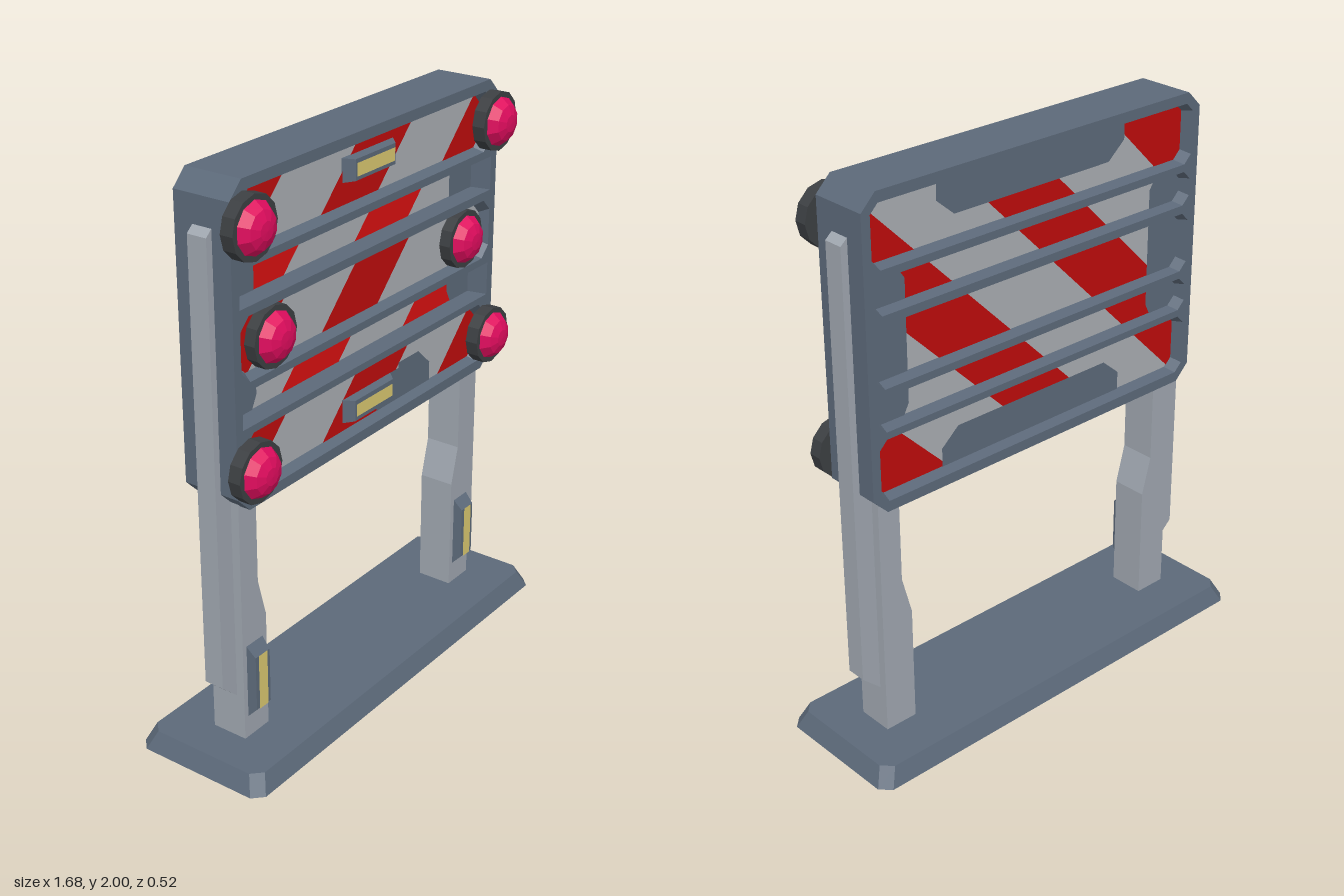
import * as THREE from 'three';
import { mergeGeometries } from 'three/addons/utils/BufferGeometryUtils.js';

const mat = (name, color, extra = {}) => {
  const m = new THREE.MeshStandardMaterial({ color, ...extra });
  m.name = name;
  return m;
};

// Counter-clockwise rectangle with cut corners
function cutRect(x0, x1, y0, y1, c = 0) {
  if (!c) return [[x0, y0], [x1, y0], [x1, y1], [x0, y1]];
  return [[x0 + c, y0], [x1 - c, y0], [x1, y0 + c], [x1, y1 - c],
    [x1 - c, y1], [x0 + c, y1], [x0, y1 - c], [x0, y0 + c]];
}

const toPoints = (loop) => loop.map(([x, y]) => new THREE.Vector2(x, y));

// Flat face at depth z, looking to +z, or to -z when back is set
function face(loop, z, back = false, holes = []) {
  const turn = (l) => toPoints(back ? l.map(([x, y]) => [-x, y]) : l);
  const shape = new THREE.Shape(turn(loop));
  for (const h of holes) shape.holes.push(new THREE.Path(turn(h)));
  const g = new THREE.ShapeGeometry(shape).toNonIndexed();
  if (back) g.rotateY(Math.PI);
  g.deleteAttribute('uv');
  return g.translate(0, 0, z);
}

// Wall joining two loops; outward when zB > zA, inward when zB < zA
function wall(a, zA, b, zB) {
  const p = [];
  a.forEach((q, i) => {
    const j = (i + 1) % a.length;
    const [A, B, C, D] = [[...q, zA], [...a[j], zA], [...b[j], zB], [...b[i], zB]];
    p.push(...A, ...B, ...C, ...A, ...C, ...D);
  });
  const g = new THREE.BufferGeometry();
  g.setAttribute('position', new THREE.Float32BufferAttribute(p, 3));
  g.computeVertexNormals();
  return g;
}

// Tapered plate, open underneath
const slab = (a, zA, b, zB) => mergeGeometries([wall(a, zA, b, zB), face(b, zB)]);

// Part of a convex loop where lo <= x - y <= hi
function clipDiagonal(loop, lo, hi) {
  for (const [s, k] of [[1, lo], [-1, -hi]]) {
    const out = [];
    loop.forEach((p, i) => {
      const q = loop[(i + 1) % loop.length];
      const dp = s * (p[0] - p[1]) - k, dq = s * (q[0] - q[1]) - k;
      if (dp >= 0) out.push(p);
      if (dp * dq < 0) {
        const t = dp / (dp - dq);
        out.push([p[0] + t * (q[0] - p[0]), p[1] + t * (q[1] - p[1])]);
      }
    });
    loop = out;
  }
  return loop;
}

export function createModel() {
  const root = new THREE.Group();
  root.name = 'roadBarrier';
  const slate = mat('slate frame', 0x5c6979, { side: THREE.DoubleSide });
  const steel = mat('light steel', 0x9fa6af);
  const white = mat('stripe grey', 0xa9adb2);
  const red = mat('stripe red', 0xbe0c0c);
  const brightRed = mat('bright stripe red', 0xd81010);
  const pink = mat('lamp pink', 0xe00c5e, { flatShading: true });
  const black = mat('lamp base black', 0x3c3f42, { flatShading: true });
  const yellow = mat('reflector yellow', 0xdac870);

  const add = (name, geo, material, parent = root) => {
    const m = new THREE.Mesh(geo, material);
    m.name = name;
    parent.add(m);
    return m;
  };

  // Foot plate
  add('footPlate', slab(cutRect(-0.84, 0.84, -0.258, 0.258, 0.036), 0,
    cutRect(-0.808, 0.808, -0.23, 0.23, 0.036), 0.065).rotateX(-Math.PI / 2), slate);

  // Board frame with five windows: bottom, top, corner cut, front panel depth
  const deep = 0.03, high = 0.07, rear = -0.06, Z = 0.105;
  const rows = [
    [1.752, 1.963, 0.05, high], [1.605, 1.725, 0, deep], [1.362, 1.575, 0.04, high],
    [1.215, 1.335, 0, deep], [0.972, 1.19, 0.05, high],
  ];
  const windowLoop = ([y0, y1, c], dx, dy = dx) => cutRect(-0.682 + dx, 0.682 - dx, y0 + dy, y1 - dy, c);
  const outline = cutRect(-0.715, 0.715, 0.935, 2, 0.055);
  const openings = rows.map((r) => windowLoop(r, 0));
  const backOpenings = rows.map(([y0, y1]) => cutRect(-0.682, 0.682, y0, y1, 0.03));
  const parts = [wall(outline, -Z, outline, Z), face(outline, Z, false, openings), face(outline, -Z, true, backOpenings)];
  rows.forEach((r, i) => {
    parts.push(wall(openings[i], Z, windowLoop(r, 0.015, r[3] === high ? 0.015 : 0), r[3]));
    parts.push(wall(cutRect(-0.672, 0.672, r[0] + 0.008, r[1] - 0.008, 0.03), rear, backOpenings[i], -Z));
  });
  add('boardFrame', mergeGeometries(parts), slate);

  // Striped panels: red diagonals on a grey sheet
  function stripedPanel(name, loop, z, start, paint, { back = false, last = 5 } = {}) {
    const dir = back ? -1 : 1;
    add(name, face(loop, z, back), white);
    const stripes = [];
    for (let k = -5; k <= last; k++) {
      const lo = start + k * 0.67;
      const piece = clipDiagonal(loop, lo, lo + 0.302);
      if (piece.length > 2) stripes.push(face(piece, z + dir * 0.002, back));
    }
    add(name + 'Stripes', mergeGeometries(stripes), paint);
  }
  const sheet = cutRect(-0.685, 0.685, 0.97, 1.965, 0.04);
  stripedPanel('innerFrontPanel', sheet, deep, -1.62, brightRed);
  stripedPanel('backPanel', sheet, rear, -1.94, red, { back: true });
  rows.forEach((r, i) => {
    if (r[3] === high) {
      stripedPanel('raisedPanel', windowLoop(r, 0.015), high, -0.26 - r[0], red, { last: i === 2 ? 0 : 1 });
    }
  });

  // Slate edge plates on both sides of the inner panel
  for (const back of [false, true]) {
    const z = back ? rear - 0.004 : deep + 0.004;
    for (const s of [1, -1]) {
      const side = [[0.68, 1.18], [0.57, 1.18], [0.53, 1.26], [0.53, 1.68], [0.57, 1.74], [0.68, 1.74]];
      add('sidePlate', face(side.map(([x, y]) => [x * s, y]), z, back), slate);
      const edge = [[-0.4, 1.96], [-0.4, 1.89], [-0.33, 1.83], [0.33, 1.83], [0.4, 1.89], [0.4, 1.96]];
      add('edgePlate', face(edge.map(([x, y]) => [x, s > 0 ? y : 2.935 - y]), z, back), slate);
    }
  }
  add('lowerFrontPlate', face([[0.055, 0.987], [0.37, 0.987], [0.37, 1.055], [0.3, 1.12],
    [0.18, 1.12], [0.18, 1.1], [0.13, 1.1], [0.13, 1.03], [0.055, 1.03]], high + 0.004), slate);

  // Reflectors: bevelled housing with a yellow strip
  function reflector(x, y, z, w, h) {
    const g = new THREE.Group();
    g.name = 'reflector';
    const bx = w > h ? 0.03 : 0.005, by = h > w ? 0.035 : 0.005;
    add('reflectorHousing', slab(cutRect(-w, w, -h, h), 0,
      cutRect(-w + bx, w - bx, -h + by, h - by), 0.033), slate, g);
    const [sw, sh] = w > h ? [0.102, 0.022] : [0.022, 0.102];
    add('reflectorStrip', face(cutRect(-sw, sw, -sh, sh), 0.035), yellow, g);
    g.position.set(x, y, z);
    root.add(g);
  }
  reflector(0, 1.88, high, 0.137, 0.04);
  reflector(0, 1.057, high, 0.137, 0.042);

  // Legs, outer rails, leg reflectors
  const bar = (pts, s, depth) => new THREE.ExtrudeGeometry(
    new THREE.Shape(toPoints(pts.map(([x, y]) => [x * s, y]))),
    { depth: depth * 2, bevelEnabled: false }).translate(0, 0, -depth);
  for (const s of [1, -1]) {
    add('leg', bar([[0.67, 0.06], [0.67, 0.95], [0.585, 0.95], [0.585, 0.63], [0.548, 0.49], [0.548, 0.06]], s, 0.066), steel);
    add('outerRail', bar([[0.67, 0.225], [0.74, 0.29], [0.74, 1.83], [0.715, 1.852], [0.67, 1.852]], s, 0.036), steel);
    reflector(s * 0.61, 0.28, 0.066, 0.041, 0.135);
  }

  // Warning lamps
  const dome = [[0.086, 0], [0.062, 0.031], [0.03, 0.044], [0, 0.046]].map(([r, y]) => new THREE.Vector2(r, y));
  function lamp(x, y, z) {
    const g = new THREE.Group();
    g.name = 'lamp';
    const base = new THREE.CylinderGeometry(0.103, 0.103, 0.046, 12);
    add('lampBase', base.translate(0, 0.023, 0).rotateX(Math.PI / 2), black, g);
    add('lampDome', new THREE.LatheGeometry(dome, 10).translate(0, 0.0455, 0).rotateX(Math.PI / 2), pink, g);
    g.position.set(x, y, z);
    root.add(g);
  }
  for (const s of [1, -1]) {
    lamp(s * 0.657, 1.862, Z);
    lamp(s * 0.525, 1.47, high - 0.004);
    lamp(s * 0.657, 1.077, Z);
  }
  return root;
}
